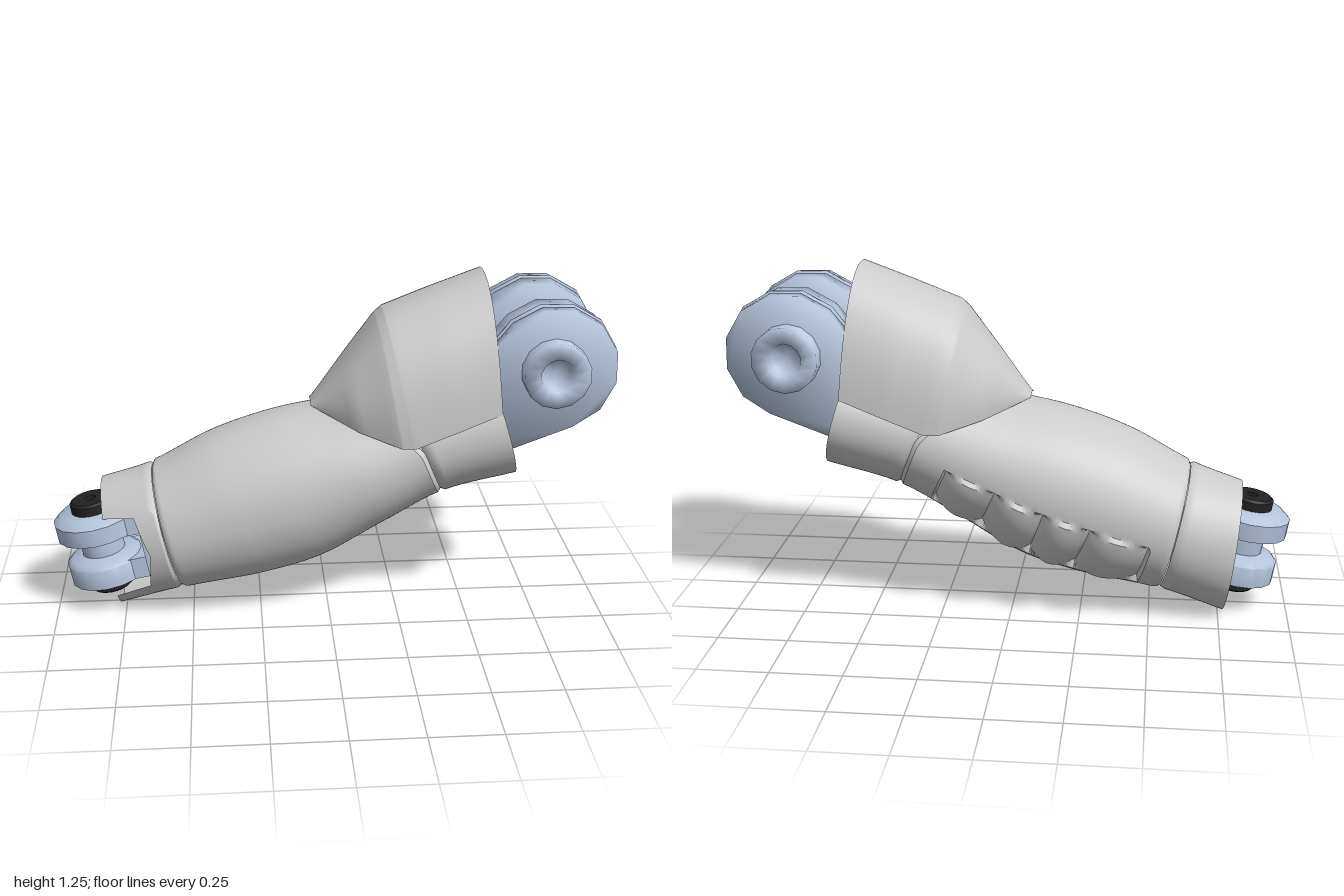
import * as THREE from 'three';
import { toCreasedNormals } from 'three/addons/utils/BufferGeometryUtils.js';

const V = (x, y, z = 0) => new THREE.Vector3(x, y, z);
const shellMat = new THREE.MeshStandardMaterial({ color: 0xcccccc, side: THREE.DoubleSide });
const jointMat = new THREE.MeshStandardMaterial({ color: 0xb4c3da });
const capMat = new THREE.MeshStandardMaterial({ color: 0x222222 });

// Arm sections from wrist to elbow: top point, bottom point, (half width, z centre)
const tops = new THREE.CatmullRomCurve3([V(-0.825, 0.485), V(-0.64, 0.545), V(-0.42, 0.66), V(-0.2, 0.735),
  V(0, 0.775), V(0.26, 0.84), V(0.56, 0.93)]);
const bottoms = new THREE.CatmullRomCurve3([V(-0.765, 0), V(-0.53, 0.075), V(-0.22, 0.135), V(-0.02, 0.2),
  V(0.21, 0.335), V(0.42, 0.45), V(0.675, 0.525)]);
const widths = new THREE.CatmullRomCurve3([V(0.213, -0.035), V(0.252, -0.015), V(0.285, -0.01), V(0.295, -0.005),
  V(0.29, 0), V(0.275, 0), V(0.29, 0.008)]);

// Point on the arm at angle a (0 = +z, PI/2 = top), station t (0..6)
function armPoint(a, t, k = 1) {
  const u = Math.min(1, Math.max(0, t / 6));
  const T = tops.getPoint(u), B = bottoms.getPoint(u), w = widths.getPoint(u);
  const p = T.clone().add(B).multiplyScalar(0.5);
  p.addScaledVector(T.sub(B), 0.5 * k * Math.sin(a));
  p.z = w.y + w.x * k * Math.cos(a);
  return p;
}

// Grid surface from a rule f(i/nu, j/nv); closed joins the last column to the first
function surface(nu, nv, f, closed = false) {
  const pos = [], idx = [], cols = closed ? nu : nu + 1;
  for (let i = 0; i < cols; i++) for (let j = 0; j <= nv; j++) pos.push(...f(i / nu, j / nv).toArray());
  for (let i = 0; i < nu; i++) for (let j = 0; j < nv; j++) {
    const a = i * (nv + 1) + j, b = ((i + 1) % cols) * (nv + 1) + j;
    idx.push(a, a + 1, b, a + 1, b + 1, b);
  }
  const g = new THREE.BufferGeometry();
  g.setAttribute('position', new THREE.Float32BufferAttribute(pos, 3));
  g.setIndex(idx);
  g.computeVertexNormals();
  return g;
}

function add(parent, name, geo, mat) {
  const m = new THREE.Mesh(geo, mat);
  m.name = name;
  parent.add(m);
  return m;
}

// Recessed panel with four bulging louvres, low on the back
function ventScale(a, t) {
  const across = (a - 3.3) / 0.82, along = (t - 1.3) / 3.15;
  if (across < 0 || across > 1 || along < 0 || along > 1) return 0;
  const f = (along * 4) % 1;
  return -0.13 + 0.18 * Math.pow(Math.sin(Math.PI * f), 0.7);
}

// Plate outline of the elbow fork: faceted round end and a tail into the arm
function forkShape(r) {
  const s = new THREE.Shape();
  s.moveTo(0.45, 0.68);
  s.lineTo(0.61, 0.885 - r);
  for (let i = 0; i <= 7; i++) {
    const a = -1.25 + i * 0.51;
    s.lineTo(0.775 + r * Math.cos(a), 0.96 + r * Math.sin(a));
  }
  s.lineTo(0.575, 0.84 + r);
  s.lineTo(0.46, 0.9);
  return s;
}

function extrude(shape, z0, z1, crease) {
  const g = new THREE.ExtrudeGeometry(shape, { depth: z1 - z0, bevelEnabled: false });
  g.translate(0, 0, z0);
  return toCreasedNormals(g, crease);
}

const lathe = (pts, n, crease) => toCreasedNormals(
  new THREE.LatheGeometry(pts.map(p => new THREE.Vector2(...p)), n), crease);

function buildShell(g) {
  const TAU = Math.PI * 2;
  // Wrist cuff, cut away on the front side
  add(g, 'wristCuff', surface(72, 12, (u, v) => {
    const a = u * TAU, s = Math.abs(Math.sin(a));
    const start = Math.cos(a) > 0 && s < 0.64 ? 0.72 - 0.25 * s : 0;
    return armPoint(a, start + (1 - start) * v, v === 1 ? 0.95 : 0.99);
  }, true), shellMat);
  // Main forearm with rolled ends and the vent panel
  add(g, 'forearmShell', toCreasedNormals(surface(112, 120, (u, v) => {
    const a = u * TAU;
    const end = 5 - 1.1 * Math.pow(Math.max(0, Math.sin(a)), 2.2);
    const t = 1.01 + (end - 1.01) * v;
    const roll = 0.04 * Math.max(0, 1 - v / 0.012) + 0.06 * Math.max(0, (v - 0.985) / 0.015);
    return armPoint(a, t, 1 - roll + ventScale(a, t));
  }, true), 0.6), shellMat);
  // Lower elbow collar, an open cradle
  add(g, 'elbowCollar', surface(56, 14, (u, v) => {
    const rise = 0.4 + 0.14 * v;
    const a = -Math.PI - rise + u * (Math.PI + 2 * rise);
    return armPoint(a, 4.97 + 1.03 * v, v === 0 ? 0.93 : 1 + 0.02 * v);
  }), shellMat);
  // Upper elbow shield: ridge line, lower edge and half width
  const ridge = [V(-0.06, 0.79), V(0.065, 0.955), V(0.17, 1.095), V(0.2, 1.123), V(0.37, 1.19), V(0.55, 1.257)];
  const edge = [V(-0.06, 0.78), V(0.1, 0.735), V(0.24, 0.7), V(0.29, 0.7), V(0.43, 0.755), V(0.59, 0.815)];
  const half = [0.045, 0.205, 0.283, 0.29, 0.29, 0.278];
  add(g, 'elbowShield', surface(40, 30, (u, v) => {
    const a = u * Math.PI, i = Math.min(4, Math.floor(v * 5)), f = v * 5 - i;
    const c = Math.cos(a), p = edge[i].clone().lerp(edge[i + 1], f);
    p.lerp(ridge[i].clone().lerp(ridge[i + 1], f), Math.pow(Math.abs(Math.sin(a)), 0.92));
    p.z = THREE.MathUtils.lerp(half[i], half[i + 1], f) * Math.sign(c) * Math.pow(Math.abs(c), 0.85);
    return p;
  }), shellMat);
}

function buildElbow(g) {
  const elbow = new THREE.Group();
  elbow.name = 'elbowJoint';
  g.add(elbow);
  // Fork plates: inner disc, thin ridge, core and outer disc on each side
  for (const side of [1, -1]) {
    for (const [name, r, z0, z1] of [['forkInner', 0.22, 0.095, 0.175], ['forkCore', 0.205, 0.175, 0.2],
      ['forkRidge', 0.227, 0.181, 0.193], ['forkOuter', 0.22, 0.2, 0.243]]) {
      add(elbow, name, extrude(forkShape(r), side > 0 ? z0 : -z1, side > 0 ? z1 : -z0, 1.7), jointMat);
    }
  }
  // Axle with dished ends
  const axle = lathe([[0, -0.262], [0.05, -0.27], [0.06, -0.302], [0.117, -0.302], [0.117, -0.1],
    [0.117, 0.1], [0.117, 0.302], [0.06, 0.302], [0.05, 0.27], [0, 0.262]], 14, 1.7);
  axle.rotateX(Math.PI / 2);
  axle.translate(0.77, 0.958, 0);
  add(elbow, 'elbowAxle', axle, jointMat);
  // Broad tongue running from the axle into the arm
  const tongue = add(elbow, 'elbowTongue', new THREE.CylinderGeometry(0.115, 0.1, 0.4, 18), jointMat);
  tongue.position.set(0.63, 0.805, 0);
  tongue.rotation.z = -0.82;
  tongue.scale.z = 0.82;
  // Pointed web between the forks
  const web = new THREE.Shape([[-0.23, 0.66], [0, 0.55], [0.23, 0.66], [0.23, 0.84], [-0.23, 0.84]]
    .map(p => new THREE.Vector2(...p)));
  const webGeo = extrude(web, 0, 0.06, 0.6);
  webGeo.rotateY(Math.PI / 2);
  webGeo.translate(0.48, 0, 0);
  add(elbow, 'elbowWeb', webGeo, jointMat);
}

function buildWrist(g) {
  const wrist = new THREE.Group();
  wrist.name = 'wristJoint';
  wrist.position.set(-0.832, 0.25, 0);
  wrist.rotation.z = 0.18;
  g.add(wrist);
  // Two discs with a narrow waist
  add(wrist, 'wristSpool', lathe([[0, -0.145], [0.11, -0.145], [0.142, -0.13], [0.142, -0.055], [0.125, -0.04], [0.08, -0.03],
    [0.08, 0.03], [0.125, 0.04], [0.153, 0.05], [0.153, 0.115], [0.12, 0.14], [0, 0.14]], 16, 0.9), jointMat);
  // Dark caps with a small central hole
  for (const s of [1, -1]) {
    const cap = add(wrist, 'wristCap', lathe([[0.02, -0.02], [0.08, -0.02], [0.08, 0.025], [0.07, 0.033],
      [0.02, 0.033], [0.02, -0.02]], 20, 0.6), capMat);
    cap.position.y = s * 0.147;
    if (s < 0) cap.rotation.x = Math.PI;
  }
  // Links from the discs into the cuff
  for (const y of [-0.09, 0.085]) {
    add(wrist, 'wristLink', new THREE.BoxGeometry(0.18, 0.08, 0.2), jointMat).position.set(0.13, y, 0);
  }
  add(wrist, 'wristBlock', new THREE.BoxGeometry(0.08, 0.25, 0.26), jointMat).position.set(0.2, 0, 0);
}

export function createModel() {
  const g = new THREE.Group();
  g.name = 'mechanicalForearm';
  buildShell(g);
  buildElbow(g);
  buildWrist(g);
  return g;
}
